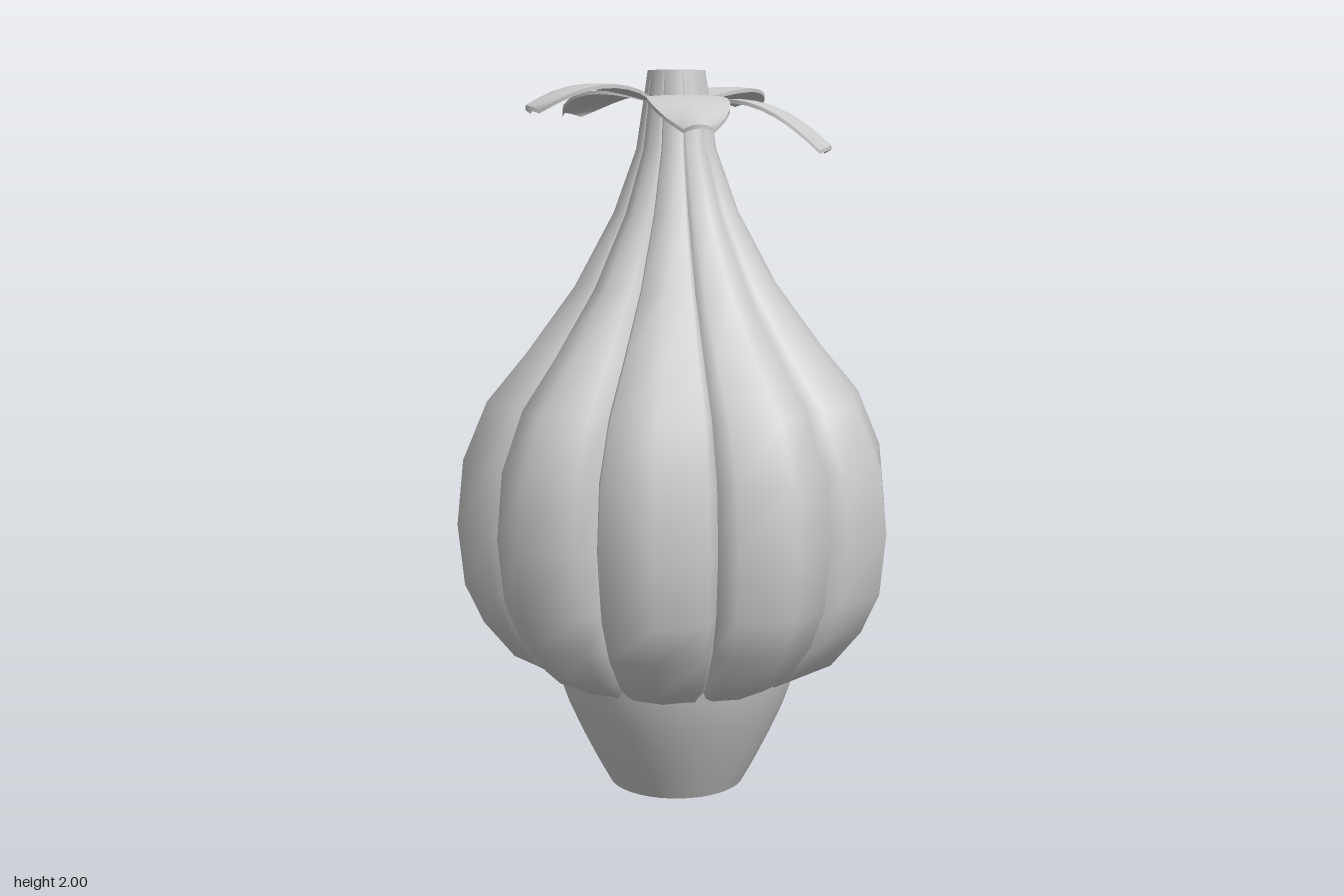
import * as THREE from 'three';

const material = new THREE.MeshStandardMaterial({ color: 0xcccccc });

// [height, radius on the ridge of a lobe, radius in the groove]
const PROFILE = [
  [0.32, 0.335, 0.31], [0.385, 0.465, 0.375], [0.49, 0.55, 0.445], [0.6, 0.6, 0.485],
  [0.77, 0.617, 0.505], [0.95, 0.598, 0.49], [1.11, 0.53, 0.43], [1.24, 0.42, 0.345],
  [1.42, 0.285, 0.235], [1.62, 0.175, 0.148], [1.79, 0.112, 0.099], [1.93, 0.09, 0.086],
  [2.0, 0.079, 0.077],
];

// One bulging segment of the body, ridge facing +x
function lobeGeometry() {
  const columns = [[-18, 0], [-14.3, 0.6], [0, 1], [14.3, 0.6], [18, 0]];
  const n = columns.length, pos = [], index = [];
  PROFILE.forEach(([y, ridge, groove], i) => {
    columns.forEach(([deg, t], j) => {
      const a = THREE.MathUtils.degToRad(deg);
      const r = groove + (ridge - groove) * t;
      pos.push(r * Math.cos(a), y, -r * Math.sin(a));
      if (i && j) {
        const d = i * n + j, c = d - 1, b = d - n, e = b - 1;
        index.push(e, b, d, e, d, c);
      }
    });
  });
  const g = new THREE.BufferGeometry();
  g.setAttribute('position', new THREE.Float32BufferAttribute(pos, 3));
  g.setIndex(index);
  g.computeVertexNormals();
  return g;
}

// Thin arched leaf running from its inner end to its tip
const HALF_WIDTHS = [0.022, 0.062, 0.086, 0.1, 0.106, 0.104, 0.095, 0.076, 0.04];
function leafGeometry(inner, tip, arch) {
  const segments = HALF_WIDTHS.length - 1;
  const g = new THREE.BoxGeometry(1, 1, 1, 4, 1, segments);
  const start = new THREE.Vector3(...inner), end = new THREE.Vector3(...tip);
  const dir = end.clone().sub(start).setY(0).normalize();
  const side = new THREE.Vector3(0, 1, 0).cross(dir);
  const p = g.attributes.position, v = new THREE.Vector3();
  for (let i = 0; i < p.count; i++) {
    const u = p.getZ(i) + 0.5, s = p.getX(i) * 2;
    const w = HALF_WIDTHS[Math.round(u * segments)];
    v.lerpVectors(start, end, u).addScaledVector(side, s * w);
    // the end is rounded, the middle arches up and the edges dip a little
    v.addScaledVector(dir, -0.025 * s * s * u * u);
    v.y += arch * 4 * u * (1 - u) - 0.012 * s * s * u + p.getY(i) * 0.01;
    p.setXYZ(i, v.x, v.y, v.z);
  }
  g.computeVertexNormals();
  return g;
}

function lathe(points, segments) {
  return new THREE.LatheGeometry(points.map(([r, y]) => new THREE.Vector2(r, y)), segments);
}

function add(parent, name, geometry) {
  const mesh = new THREE.Mesh(geometry, material);
  mesh.name = name;
  parent.add(mesh);
  return mesh;
}

export function createModel() {
  const model = new THREE.Group();
  model.name = 'lobedBulb';

  // Ribbed body
  const body = new THREE.Group();
  body.name = 'body';
  model.add(body);
  const lobe = lobeGeometry();
  for (let i = 0; i < 10; i++) add(body, 'lobe', lobe).rotation.y = (i * Math.PI) / 5;

  // Tapered foot with a flat underside
  add(model, 'foot', lathe([[0.192, 0], [0.23, 0.07], [0.272, 0.155], [0.31, 0.24], [0.338, 0.32], [0.355, 0.4]], 40));
  const underside = add(model, 'footUnderside', new THREE.CircleGeometry(0.192, 40));
  underside.rotation.x = Math.PI / 2;

  // Hollow mouth at the top of the neck
  add(model, 'mouth', lathe([[0.079, 2.0], [0.062, 1.995], [0.022, 1.96]], 20));

  // Leaves around the neck
  const leaves = new THREE.Group();
  leaves.name = 'leaves';
  model.add(leaves);
  [
    [[-0.02, 1.905, 0.09], [-0.03, 1.85, 0.425], 0.045],
    [[0.09, 1.91, 0.02], [0.39, 1.795, 0.165], 0.05],
    [[0.06, 1.92, -0.08], [0.3, 1.925, -0.345], 0.035],
    [[-0.035, 1.92, -0.09], [-0.25, 1.895, -0.36], 0.04],
    [[-0.09, 1.925, 0.045], [-0.425, 1.9, 0.1], 0.045],
  ].forEach(([inner, tip, arch]) => add(leaves, 'leaf', leafGeometry(inner, tip, arch)));

  return model;
}
